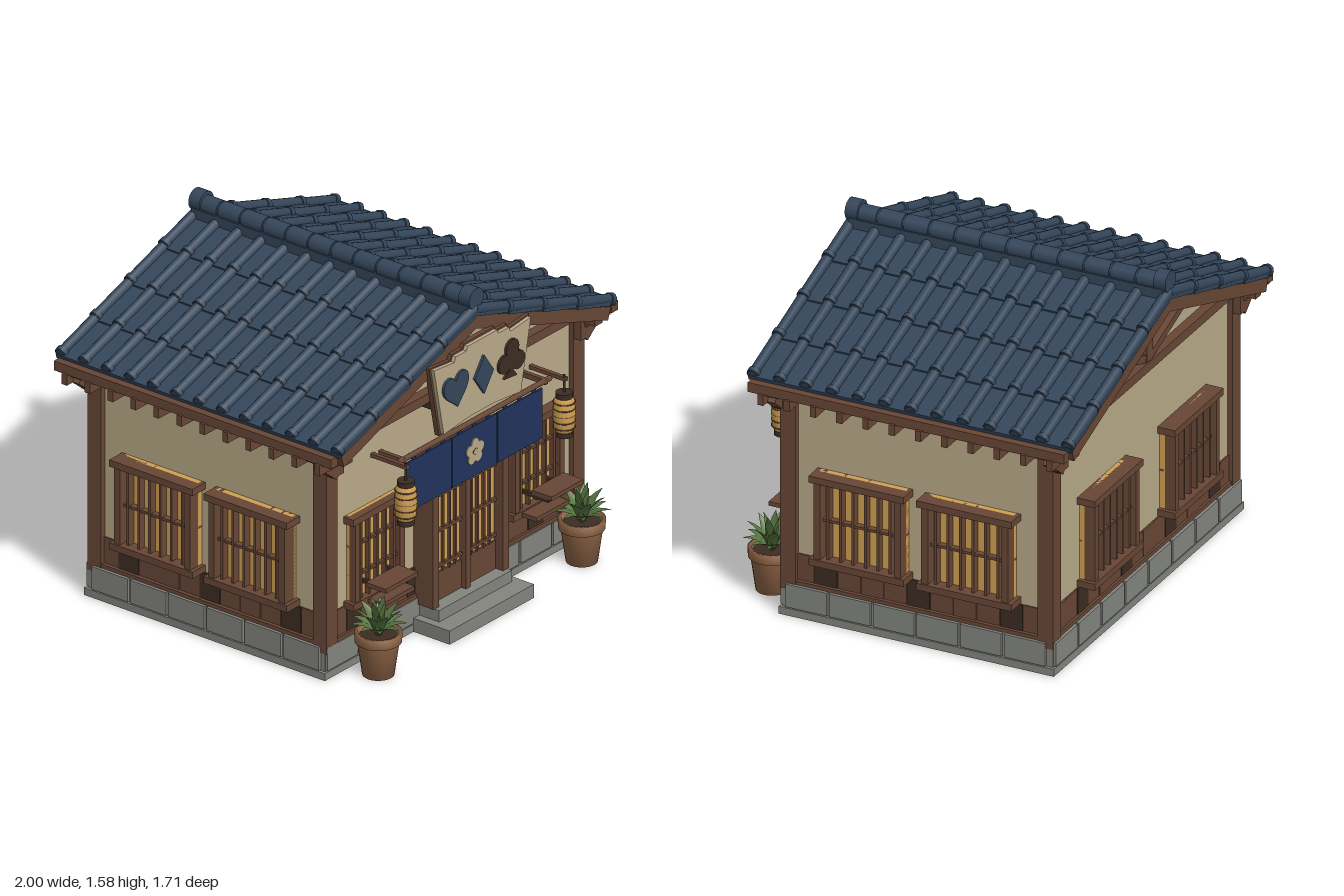
import * as THREE from 'three';

const mat = (name, color) => Object.assign(new THREE.MeshStandardMaterial({ color }), { name });
const roofBlue = mat('roof tile blue', 0x34465a), wood = mat('wood', 0x684736), darkWood = mat('dark wood', 0x3c2c23);
const plaster = mat('plaster', 0xb9aa88), amber = mat('amber paper', 0xd0a052), stone = mat('stone', 0x83857f);
const navy = mat('navy cloth', 0x21345c), clay = mat('clay', 0x8e6446), leaf = mat('leaf green', 0x55733f);
leaf.side = THREE.DoubleSide;

function add(parent, name, geo, material, x = 0, y = 0, z = 0) {
  const m = new THREE.Mesh(geo, material);
  m.name = name;
  m.position.set(x, y, z);
  parent.add(m);
  return m;
}
function group(parent, name, x = 0, y = 0, z = 0, ry = 0) {
  const g = new THREE.Group();
  g.name = name;
  g.position.set(x, y, z);
  g.rotation.y = ry;
  parent.add(g);
  return g;
}
// Box given by its min and max corners
const span = (p, name, m, x0, x1, y0, y1, z0, z1) =>
  add(p, name, new THREE.BoxGeometry(x1 - x0, y1 - y0, z1 - z0), m, (x0 + x1) / 2, (y0 + y1) / 2, (z0 + z1) / 2);
// Straight timber in the xy plane
function beam(p, name, m, x0, y0, x1, y1, z, w, d) {
  const b = add(p, name, new THREE.BoxGeometry(Math.hypot(x1 - x0, y1 - y0), w, d), m, (x0 + x1) / 2, (y0 + y1) / 2, z);
  b.rotation.z = Math.atan2(y1 - y0, x1 - x0);
  return b;
}
const polygon = pts => new THREE.Shape(pts.map(p => new THREE.Vector2(...p)));
const plate = (shape, depth) => new THREE.ExtrudeGeometry(shape, { depth, bevelEnabled: false, curveSegments: 14 });
const disc = (r, d) => new THREE.CylinderGeometry(r, r, d, 20).rotateX(Math.PI / 2);

const ZC = -0.06;                    // centre of the house along z
const FRONT = 0.575, BACK = -0.695, SIDE = 0.86;

// Latticed window; origin at the wall, facing +z
function addWindow(parent, x, y, z, ry, w, h, depth, nV, nH) {
  const g = group(parent, 'window', x, y, z, ry), a = w / 2, b = h / 2, bar = depth * 0.7;
  span(g, 'windowPaper', amber, -a, a, -b, b, 0, depth * 0.3);
  for (const s of [-1, 1]) {
    add(g, 'windowStile', new THREE.BoxGeometry(0.032, h, depth * 0.9), wood, s * (a - 0.016), 0, depth * 0.45);
    add(g, 'windowRail', new THREE.BoxGeometry(w + 0.04, 0.032, depth), wood, 0, s * (b - 0.016), depth / 2);
  }
  for (let i = 1; i <= nV; i++) span(g, 'windowBar', wood, -a + w * i / (nV + 1) - 0.006, -a + w * i / (nV + 1) + 0.006, -b, b, 0, bar);
  for (let i = 1; i <= nH; i++) span(g, 'windowCrossBar', wood, -a, a, -b + h * i / (nH + 1) - 0.006, -b + h * i / (nH + 1) + 0.006, 0, bar * 0.9);
}

function buildWalls(root) {
  const g = group(root, 'house');
  // Stone base with separate facing blocks
  span(g, 'plinth', stone, -0.885, 0.885, 0, 0.15, -0.718, 0.588);
  span(g, 'plinthFoot', stone, -0.9, 0.9, 0, 0.035, -0.73, 0.6);
  for (const s of [-1, 1]) {
    for (let i = 0; i < 6; i++) add(g, 'sideStone', new THREE.BoxGeometry(0.02, 0.11, 0.198), stone, s * 0.89, 0.095, ZC + (i - 2.5) * 0.211);
    for (let i = 0; i < 8; i++) add(g, 'endStone', new THREE.BoxGeometry(0.208, 0.11, 0.02), stone, (i - 3.5) * 0.222, 0.095, s > 0 ? 0.59 : -0.72);
  }
  span(g, 'lowerStep', stone, -0.29, 0.29, 0, 0.065, 0.55, 0.8);
  span(g, 'upperStep', stone, -0.25, 0.25, 0.06, 0.12, 0.55, 0.71);

  // Plaster body with gables
  const body = plate(polygon([[-SIDE, 0.14], [SIDE, 0.14], [SIDE, 1.12], [0, 1.42], [-SIDE, 1.12]]), FRONT - BACK);
  add(g, 'plasterWalls', body, plaster, 0, 0, BACK);

  // Plank skirting and sills
  const tone = i => (i % 4 === 1 ? darkWood : wood);
  for (const s of [-1, 1]) {
    const zw = s > 0 ? FRONT : BACK;
    for (let i = 0; i < 11; i++) add(g, 'sidePlank', new THREE.BoxGeometry(0.014 + (i % 2) * 0.005, 0.135, 0.109), tone(i), s * SIDE, 0.225, ZC + (i - 5) * 0.112);
    for (let i = 0; i < 16; i++) add(g, 'endPlank', new THREE.BoxGeometry(0.101, 0.135, 0.014 + (i % 2) * 0.005), tone(i), (i - 7.5) * 0.104, 0.225, zw);
    span(g, 'sideSill', wood, s * 0.865 - 0.02, s * 0.865 + 0.02, 0.145, 0.168, -0.7, 0.58);
    span(g, 'endSill', wood, -0.86, 0.86, 0.145, 0.168, zw - 0.02, zw + 0.02);
    span(g, 'wallPlate', wood, s * 0.86 - 0.025, s * 0.86 + 0.025, 1.06, 1.13, -0.82, 0.7);
    // Corner posts and brackets
    for (const z of [-0.682, 0.562]) {
      add(g, 'cornerPost', new THREE.BoxGeometry(0.075, 0.96, 0.075), wood, s * 0.85, 0.6, z);
      const zb = z + Math.sign(z) * 0.05;
      beam(g, 'cornerBracket', wood, s * 0.85, 0.98, s * 0.95, 1.06, zb, 0.04, 0.05);
      add(g, 'bracketBlock', new THREE.BoxGeometry(0.07, 0.1, 0.05), wood, s * 0.85, 1.03, zb);
    }
    // Gable truss
    const zt = zw + Math.sign(s) * 0.015, t = group(g, 'gableTruss');
    add(t, 'tieBeam', new THREE.BoxGeometry(1.96, 0.045, 0.06), wood, 0, 1.1, zt);
    add(t, 'kingPost', new THREE.BoxGeometry(0.055, 0.32, 0.05), wood, 0, 1.27, zt);
    for (const k of [-1, 1]) {
      beam(t, 'trussRafter', wood, 0, 1.41, k * 0.9, 1.105, zt, 0.045, 0.05);
      beam(t, 'strut', wood, k * 0.03, 1.14, k * 0.4, 1.27, zt, 0.035, 0.045);
    }
  }

  // Windows on every wall
  for (const s of [-1, 1]) {
    for (const z of [0.2, -0.32]) addWindow(g, s * SIDE, 0.51, z, s * Math.PI / 2, 0.42, 0.43, 0.09, 6, 1);
    addWindow(g, s * 0.38, 0.51, BACK, Math.PI, 0.42, 0.43, 0.085, 6, 1);
    addWindow(g, s * 0.55, 0.5, FRONT, 0, 0.34, 0.44, 0.055, 5, 2);
    // Small plank shelves beneath the front windows
    span(g, 'upperShelf', wood, s * 0.57 - 0.11, s * 0.57 + 0.11, 0.385, 0.405, 0.65, 0.76);
    span(g, 'lowerShelf', wood, s * 0.53 - 0.11, s * 0.53 + 0.11, 0.285, 0.305, 0.6, 0.71);
    for (const k of [-0.08, 0.08]) span(g, 'shelfBracket', darkWood, s * 0.55 + k - 0.008, s * 0.55 + k + 0.008, 0.37, 0.387, 0.58, 0.74);
  }

  // Sliding entrance doors
  const d = group(g, 'entrance');
  span(d, 'doorPaper', amber, -0.23, 0.23, 0.25, 0.8, 0.57, 0.635);
  span(d, 'doorPanel', wood, -0.23, 0.23, 0.12, 0.255, 0.57, 0.645);
  span(d, 'lintel', wood, -0.26, 0.26, 0.78, 0.82, 0.57, 0.685);
  span(d, 'doorMullion', wood, -0.016, 0.016, 0.115, 0.8, 0.57, 0.67);
  for (const s of [-1, 1]) {
    span(d, 'doorPost', wood, s * 0.24 - 0.02, s * 0.24 + 0.02, 0.12, 0.82, 0.57, 0.685);
    for (const x of [0.055, 0.095, 0.14, 0.18]) span(d, 'doorBar', wood, s * x - 0.005, s * x + 0.005, 0.25, 0.8, 0.62, 0.648);
  }
  for (const y of [0.285, 0.455, 0.625]) span(d, 'doorCrossBar', wood, -0.23, 0.23, y - 0.007, y + 0.007, 0.62, 0.65);
}

function buildRoof(root) {
  const g = group(root, 'roof', 0, 0, ZC), pitch = 0.332, len = 1.0, courses = 4, step = len / courses;
  for (const s of [1, -1]) {
    const side = group(g, 'roofSide', 0, 0, 0, s > 0 ? 0 : Math.PI);
    const slope = group(side, 'roofSlope', 0, 1.47, 0);
    slope.rotation.z = -pitch;
    span(slope, 'roofDeck', darkWood, 0, len - 0.02, -0.045, -0.022, -0.75, 0.75);
    for (const z of [-0.755, 0.755]) span(slope, 'bargeboard', wood, 0, len - 0.01, -0.085, -0.024, z - 0.018, z + 0.018);
    for (let c = 0; c < courses; c++) {
      const mid = (c + 0.5) * step;
      const pan = add(slope, 'tileCourse', new THREE.BoxGeometry(step + 0.02, 0.024, 1.56), roofBlue, mid, -0.01, 0);
      pan.rotation.z = 0.035;
      for (let i = 0; i < 13; i++) {
        const z = (i - 6) * 0.1268;
        const b = add(slope, 'barrelTile', new THREE.CylinderGeometry(0.022, 0.025, step + 0.01, 12).rotateZ(-Math.PI / 2).rotateX(Math.PI / 2), roofBlue, mid, 0.006, z);
        b.rotation.z = 0.03;
        add(slope, 'tileCollar', new THREE.CylinderGeometry(0.029, 0.029, 0.025, 12).rotateZ(Math.PI / 2), roofBlue, (c + 1) * step - 0.012, 0.007, z);
      }
    }
    // Eave board and rafter tails
    span(side, 'eaveBoard', wood, 0.94, 0.988, 1.085, 1.13, -0.765, 0.765);
    for (let i = 0; i < 12; i++) add(side, 'rafterTail', new THREE.BoxGeometry(0.16, 0.05, 0.028), wood, 0.92, 1.065, (i - 5.5) * 0.1268);
  }
  // Ridge tiles
  for (let i = 0; i < 12; i++) {
    const z = (i - 5.5) * 0.125;
    add(g, 'ridgeTile', new THREE.CylinderGeometry(0.042, 0.042, 0.115, 16).rotateX(Math.PI / 2), roofBlue, 0, 1.515, z);
    add(g, 'ridgeJoint', disc(0.036, 0.125), roofBlue, 0, 1.515, z);
  }
  span(g, 'ridgeBase', roofBlue, -0.045, 0.045, 1.44, 1.5, -0.76, 0.76);
  for (const s of [-1, 1]) add(g, 'ridgeEnd', disc(0.05, 0.06), roofBlue, 0, 1.525, s * 0.745);
}

function buildSign(root) {
  const g = group(root, 'signboard', 0, 1.17, 0);
  const half = [[0.09, -0.175], [0.275, -0.195], [0.345, 0.155], [0.2, 0.14], [0.19, 0.165], [0.115, 0.165], [0.105, 0.185]];
  const outline = [...half, ...half.map(([x, y]) => [-x, y]).reverse()];
  add(g, 'signBack', plate(polygon(outline), 0.025), wood, 0, 0, 0.705);
  const face = add(g, 'signFace', plate(polygon(outline), 0.02), plaster, 0, 0, 0.728);
  face.scale.set(0.965, 0.95, 1);
  for (const x of [-0.2, 0.2]) span(g, 'signBracket', darkWood, x - 0.015, x + 0.015, -0.12, -0.09, 0.57, 0.71);
  // Card-suit emblems
  const heart = new THREE.Shape().moveTo(0, -0.085);
  heart.bezierCurveTo(-0.03, -0.045, -0.09, -0.02, -0.085, 0.035).bezierCurveTo(-0.08, 0.085, -0.015, 0.085, 0, 0.04);
  heart.bezierCurveTo(0.015, 0.085, 0.08, 0.085, 0.085, 0.035).bezierCurveTo(0.09, -0.02, 0.03, -0.045, 0, -0.085);
  add(g, 'heartEmblem', plate(heart, 0.012), roofBlue, -0.19, 0.005, 0.748).rotation.z = 0.1;
  add(g, 'diamondEmblem', plate(polygon([[0, -0.092], [0.065, 0], [0, 0.092], [-0.065, 0]]), 0.012), roofBlue, 0, 0.005, 0.748);
  const club = group(g, 'clubEmblem', 0.19, 0.005, 0.754);
  club.rotation.z = -0.1;
  for (const [x, y] of [[0, 0.05], [-0.046, -0.015], [0.046, -0.015]]) add(club, 'clubLobe', disc(0.044, 0.012), darkWood, x, y, 0);
  add(club, 'clubStem', plate(polygon([[-0.045, -0.085], [0.045, -0.085], [0.012, -0.05], [0.02, 0.03], [-0.02, 0.03], [-0.012, -0.05]]), 0.012), darkWood, 0, 0, -0.006);
}

function buildCurtain(root) {
  const g = group(root, 'entranceCurtain');
  add(g, 'curtainRod', new THREE.CylinderGeometry(0.013, 0.013, 1.05, 10).rotateZ(Math.PI / 2), wood, 0, 0.935, 0.7);
  for (const x of [-0.49, 0.49]) span(g, 'rodBracket', wood, x - 0.01, x + 0.01, 0.92, 0.945, 0.57, 0.71);
  for (const x of [-0.314, 0, 0.314]) {
    add(g, 'curtainPanel', new THREE.BoxGeometry(0.307, 0.24, 0.01), navy, x, 0.79, 0.7);
    for (const k of [-0.1, 0, 0.1]) span(g, 'curtainLoop', navy, x + k - 0.012, x + k + 0.012, 0.9, 0.925, 0.697, 0.703);
  }
  // Blossom
  for (let i = 0; i < 5; i++) {
    const a = Math.PI / 2 + i * Math.PI * 0.4;
    add(g, 'petal', disc(0.026, 0.006), plaster, 0.037 * Math.cos(a), 0.79 + 0.037 * Math.sin(a), 0.707);
  }
  add(g, 'blossomRing', disc(0.017, 0.008), wood, 0, 0.79, 0.707);
  add(g, 'blossomCentre', disc(0.013, 0.009), plaster, 0, 0.79, 0.708);
}

function buildLantern(root, x) {
  const g = group(root, 'lantern', x, 0, 0.762);
  const profile = [[0, 0.69], [0.035, 0.69], [0.046, 0.71], [0.05, 0.775], [0.046, 0.84], [0.035, 0.862], [0, 0.862]];
  add(g, 'lanternPaper', new THREE.LatheGeometry(profile.map(p => new THREE.Vector2(...p)), 20), amber);
  for (const y of [0.682, 0.868]) add(g, 'lanternCap', new THREE.CylinderGeometry(0.038, 0.038, 0.024, 20), darkWood, 0, y, 0);
  for (const y of [0.715, 0.745, 0.775, 0.805, 0.835]) add(g, 'lanternRib', new THREE.TorusGeometry(0.048, 0.003, 5, 20).rotateX(Math.PI / 2), wood, 0, y, 0);
  add(g, 'lanternHook', new THREE.CylinderGeometry(0.006, 0.006, 0.085, 8), darkWood, 0, 0.92, 0);
  span(g, 'lanternArm', wood, -0.01, 0.01, 0.935, 0.953, -0.19, 0.012);
}

// Tapered, folded blade that arches outwards
function bladeGeometry(length, lean) {
  const geo = new THREE.PlaneGeometry(1, 1, 2, 5), p = geo.attributes.position;
  for (let i = 0; i < p.count; i++) {
    const t = p.getY(i) + 0.5, u = p.getX(i), a = lean * (0.6 + 0.5 * t);
    const w = 0.05 * Math.sin(Math.PI * (0.15 + 0.85 * t));
    p.setXYZ(i, u * w, length * t * Math.cos(a) + Math.abs(u) * w * 0.4, length * t * Math.sin(a));
  }
  geo.computeVertexNormals();
  return geo;
}

function buildPlant(root, x) {
  const g = group(root, 'pottedPlant', x, 0, 0.735);
  const pot = [[0, 0], [0.07, 0], [0.092, 0.155], [0.103, 0.16], [0.105, 0.205], [0.088, 0.205], [0.085, 0.18], [0, 0.18]];
  const geo = new THREE.LatheGeometry(pot.map(p => new THREE.Vector2(...p)), 24);
  add(g, 'pot', geo, clay);
  add(g, 'soil', new THREE.CylinderGeometry(0.086, 0.086, 0.01, 20), darkWood, 0, 0.182, 0);
  [[4, 0.185, 0.2], [7, 0.175, 0.6], [9, 0.145, 0.98]].forEach(([n, length, lean], tier) => {
    for (let i = 0; i < n; i++)
      add(g, 'leafBlade', bladeGeometry(length, lean), leaf, 0, 0.182, 0).rotation.y = (i + tier * 0.4) * Math.PI * 2 / n;
  });
}

export function createModel() {
  const root = new THREE.Group();
  root.name = 'woodenShop';
  buildWalls(root);
  buildRoof(root);
  buildSign(root);
  buildCurtain(root);
  for (const s of [-1, 1]) {
    buildLantern(root, s * 0.545);
    buildPlant(root, s * 0.7);
  }
  return root;
}
